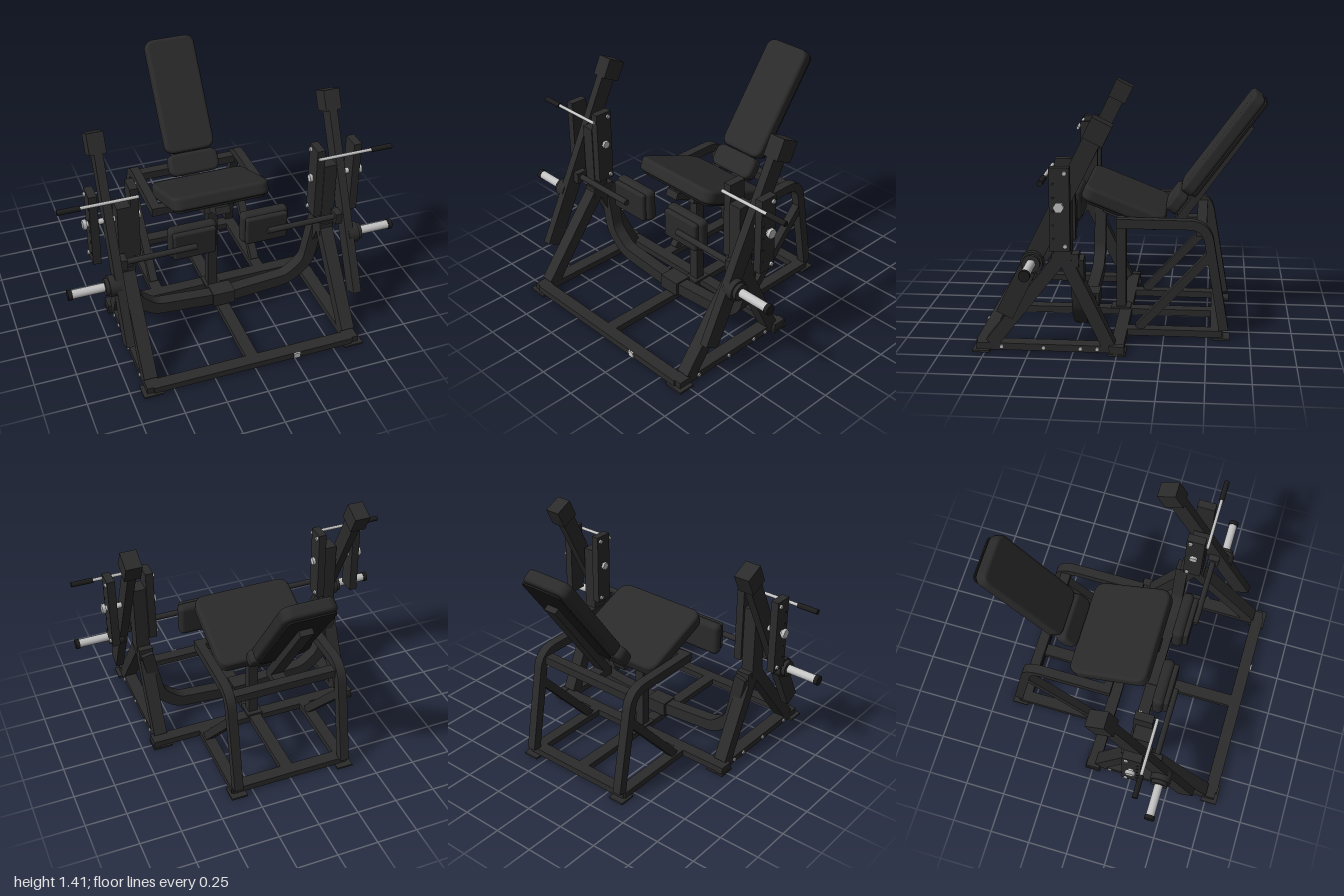
import * as THREE from 'three';
import { RoundedBoxGeometry } from 'three/addons/geometries/RoundedBoxGeometry.js';

const mat = (name, color) => Object.assign(new THREE.MeshStandardMaterial({ color }), { name });

export function createModel() {
  const model = new THREE.Group();
  const frame = mat('charcoal frame', 0x2b2b2b);
  const pad = mat('black upholstery', 0x2a2a2a);
  const rubber = mat('black rubber', 0x1c1c1c);
  const steel = mat('polished steel', 0xc4c4c4);

  const add = (name, geo, material, x = 0, y = 0, z = 0, rx = 0) => {
    const m = new THREE.Mesh(geo, material);
    m.name = name;
    m.position.set(x, y, z);
    m.rotation.x = rx;
    model.add(m);
    return m;
  };
  const box = (name, w, h, d, x, y, z, rx = 0, material = frame) =>
    add(name, new THREE.BoxGeometry(w, h, d), material, x, y, z, rx);
  const cushion = (name, w, h, d, r, x, y, z, rx = 0) =>
    add(name, new RoundedBoxGeometry(w, h, d, 4, r), pad, x, y, z, rx);
  // Slab with rounded plan corners and bevelled rims, lying flat
  const upholstery = (name, w, h, d, r, x, y, z, rx, material = pad) => {
    const b = Math.min(0.02, h * 0.3), a = w / 2 - b, c = d / 2 - b;
    const s = new THREE.Shape();
    s.moveTo(-a + r, -c);
    s.lineTo(a - r, -c); s.quadraticCurveTo(a, -c, a, -c + r);
    s.lineTo(a, c - r); s.quadraticCurveTo(a, c, a - r, c);
    s.lineTo(-a + r, c); s.quadraticCurveTo(-a, c, -a, c - r);
    s.lineTo(-a, -c + r); s.quadraticCurveTo(-a, -c, -a + r, -c);
    const g = new THREE.ExtrudeGeometry(s, {
      depth: h - 2 * b, bevelThickness: b, bevelSize: b, bevelSegments: 4, curveSegments: 8,
    });
    g.translate(0, 0, -(h - 2 * b) / 2).rotateX(-Math.PI / 2);
    return add(name, g, material, x, y, z, rx);
  };
  // Straight bar at a given x between two [z, y] points
  const beam = (name, x, a, b, w, t, material = frame) => {
    const dz = b[0] - a[0], dy = b[1] - a[1];
    return box(name, w, t, Math.hypot(dz, dy), x, (a[1] + b[1]) / 2, (a[0] + b[0]) / 2,
      -Math.atan2(dy, dz), material);
  };
  // Round bar along x between two x positions
  const rod = (name, x0, x1, y, z, r, material, sides = 20) => {
    const g = new THREE.CylinderGeometry(r, r, Math.abs(x1 - x0), sides).rotateZ(Math.PI / 2);
    return add(name, g, material, (x0 + x1) / 2, y, z);
  };
  // Flat-sided tube following a polyline with rounded corners, centred in depth
  const bentTube = (pts, radius, width, depth) => {
    const v = pts.map(p => new THREE.Vector2(...p));
    const path = new THREE.CurvePath();
    let from = v[0];
    for (let i = 1; i < v.length - 1; i++) {
      const p = v[i].clone().add(v[i - 1].clone().sub(v[i]).setLength(radius));
      const q = v[i].clone().add(v[i + 1].clone().sub(v[i]).setLength(radius));
      path.add(new THREE.LineCurve(from, p));
      path.add(new THREE.QuadraticBezierCurve(p, v[i], q));
      from = q;
    }
    path.add(new THREE.LineCurve(from, v[v.length - 1]));
    const left = [], right = [];
    for (const c of path.curves) {
      const n = c.isLineCurve ? 1 : 10;
      for (let k = 0; k <= n; k++) {
        if (k === 0 && left.length) continue;
        const p = c.getPoint(k / n), t = c.getTangent(k / n);
        const o = new THREE.Vector2(-t.y, t.x).multiplyScalar(width / 2);
        left.push(p.clone().add(o));
        right.unshift(p.clone().sub(o));
      }
    }
    const g = new THREE.ExtrudeGeometry(new THREE.Shape([...left, ...right]), { depth, bevelEnabled: false });
    return g.translate(0, 0, -depth / 2);
  };

  // Base frame
  box('frontBaseBar', 1.24, 0.04, 0.075, 0, 0.03, 0.772);
  box('middleBaseBar', 1.36, 0.04, 0.075, 0, 0.03, 0);
  box('rearBaseBar', 0.74, 0.04, 0.075, 0, 0.03, -0.56);
  box('centreBaseBar', 0.075, 0.04, 1.33, 0, 0.03, 0.105);
  box('frontBaseBolt', 0.04, 0.035, 0.01, 0.26, 0.032, 0.812, 0, steel);

  // Centre post and low curved crossmember
  box('centrePost', 0.06, 0.66, 0.06, 0, 0.38, 0.03);
  box('postFoot', 0.1, 0.012, 0.12, 0, 0.056, 0.03);
  const u = [[0.615, 0.56], [0.555, 0.155], [0.06, 0.105]];
  add('curvedCrossmember',
    bentTube([...u.map(([x, y]) => [-x, y]), ...u.slice().reverse()], 0.1 * 0.5, 0.075, 0.075),
    frame, 0, 0, 0.22).geometry.dispose();
  model.children[model.children.length - 1].geometry =
    bentTube([[-0.62, 0.56], [-0.56, 0.24], [-0.44, 0.135], [-0.06, 0.105],
      [0.06, 0.105], [0.44, 0.135], [0.56, 0.24], [0.62, 0.56]], 0.055, 0.075, 0.075);
  box('crossmemberSleeve', 0.14, 0.09, 0.11, 0, 0.108, 0.218);
  box('sleeveStand', 0.06, 0.03, 0.07, 0, 0.05, 0.218);

  // Seat carrier and upper crossbars
  box('frontSeatCrossbar', 0.7, 0.05, 0.05, 0, 0.685, 0.005);
  box('rearSeatCrossbar', 0.66, 0.05, 0.06, 0, 0.635, -0.46);
  box('backrestBracket', 0.08, 0.045, 0.17, 0, 0.622, -0.385);
  const tilt = -0.379;
  upholstery('seat', 0.61, 0.085, 0.51, 0.05, 0, 0.758, -0.005, tilt);
  upholstery('seatBoard', 0.56, 0.02, 0.46, 0.04, 0, 0.712, 0.012, tilt, rubber);
  beam('seatRail', 0, [0.235, 0.755], [-0.195, 0.585], 0.09, 0.045);
  box('seatMount', 0.16, 0.07, 0.16, 0, 0.68, 0.05, tilt);

  // Backrest, lumbar cushion and spine
  const lean = Math.PI / 2 - 0.63;
  upholstery('backrest', 0.315, 0.08, 0.72, 0.04, 0, 1.1, -0.572, lean);
  upholstery('backrestBoard', 0.28, 0.012, 0.7, 0.03, 0, 1.07, -0.617, lean, rubber);
  upholstery('lumbarCushion', 0.32, 0.08, 0.14, 0.03, 0, 0.755, -0.31, lean);
  beam('backrestSpine', 0, [-0.33, 0.635], [-0.735, 1.205], 0.08, 0.05);

  for (const s of [1, -1]) {
    // Side rails and foot plates
    box('frontSideRail', 0.08, 0.04, 0.8, s * 0.62, 0.03, 0.4);
    box('rearSideRail', 0.07, 0.04, 0.6, s * 0.345, 0.03, -0.29);
    box('frontFootPlate', 0.12, 0.012, 0.1, s * 0.625, 0.006, 0.772);
    box('middleFootPlate', 0.12, 0.012, 0.1, s * 0.625, 0.006, 0);
    box('rearFootPlate', 0.1, 0.012, 0.1, s * 0.345, 0.006, -0.585);
    box('railEndBlock', 0.05, 0.045, 0.085, s * 0.655, 0.0325, 0);
    for (const z of [0.655, 0.415, 0.205, 0.11])
      rod('railBolt', s * 0.655, s * 0.668, 0.03, z, 0.012, steel, 6);

    // Rear bent legs and braces
    const leg = add('rearBentLeg',
      bentTube([[0.03, 0.685], [-0.49, 0.685], [-0.6, 0.05]], 0.1, 0.055, 0.055),
      frame, s * 0.345);
    leg.rotation.y = -Math.PI / 2;
    beam('rearBrace', s * 0.345, [-0.1, 0.05], [-0.51, 0.5], 0.05, 0.05);

    // A-frame and upright
    beam('frontLeg', s * 0.62, [0.715, 0.045], [0.31, 0.565], 0.08, 0.075);
    beam('backLeg', s * 0.62, [0.045, 0.045], [0.29, 0.56], 0.08, 0.075);
    box('apexGusset', 0.085, 0.075, 0.15, s * 0.62, 0.55, 0.285);
    box('upright', 0.08, 0.45, 0.1, s * 0.625, 0.775, 0.3);
    box('innerPlate', 0.048, 0.46, 0.11, s * 0.561, 0.88, 0.29);
    box('outerPlate', 0.048, 0.46, 0.11, s * 0.793, 0.88, 0.29);
    for (let i = 0; i < 5; i++)
      rod('adjusterHole', s * 0.815, s * 0.819, 0.72 + i * 0.075, 0.325, 0.008, rubber, 10);
    for (const [y, z] of [[1.08, 0.26], [0.68, 0.26]]) {
      rod('plateBolt', s * 0.815, s * 0.828, y, z, 0.013, steel, 6);
      rod('innerPlateBolt', s * 0.525, s * 0.538, y, z, 0.013, steel, 6);
    }

    // Pivot shaft
    rod('pivotShaft', s * 0.53, s * 0.84, 0.9, 0.29, 0.017, steel);
    rod('pivotNut', s * 0.828, s * 0.85, 0.9, 0.29, 0.03, steel, 6);
    rod('innerPivotNut', s * 0.518, s * 0.535, 0.9, 0.29, 0.025, steel, 6);

    // Swinging lever with counterweight block
    beam('lever', s * 0.705, [0.62, 0.245], [0.1, 1.29], 0.05, 0.1);
    beam('leverCap', s * 0.707, [0.12, 1.235], [0.066, 1.345], 0.098, 0.12);

    // Weight horn
    rod('hornHub', s * 0.7, s * 0.765, 0.565, 0.455, 0.062, frame, 24);
    rod('hornFlange', s * 0.765, s * 0.788, 0.565, 0.455, 0.05, frame, 24);
    rod('hornSleeve', s * 0.788, s * 0.98, 0.565, 0.455, 0.026, steel, 24);
    rod('hornEndCap', s * 0.975, s * 1, 0.565, 0.455, 0.031, rubber, 24);

    // Hand bar
    rod('handleBar', s * 0.54, s * 0.88, 1.067, 0.362, 0.01, steel, 16);
    rod('handleGrip', s * 0.87, s * 1, 1.067, 0.362, 0.016, rubber, 16);

    // Leg roller arm and pad
    rod('padArm', s * 0.22, s * 0.7, 0.667, 0.4, 0.018, frame, 16);
    box('padArmCollar', 0.04, 0.07, 0.07, s * 0.66, 0.667, 0.4);
    cushion('legPad', 0.295, 0.205, 0.07, 0.03, s * 0.222, 0.67, 0.32);
    cushion('legPadBacking', 0.26, 0.18, 0.035, 0.015, s * 0.222, 0.67, 0.368);
  }
  return model;
}
